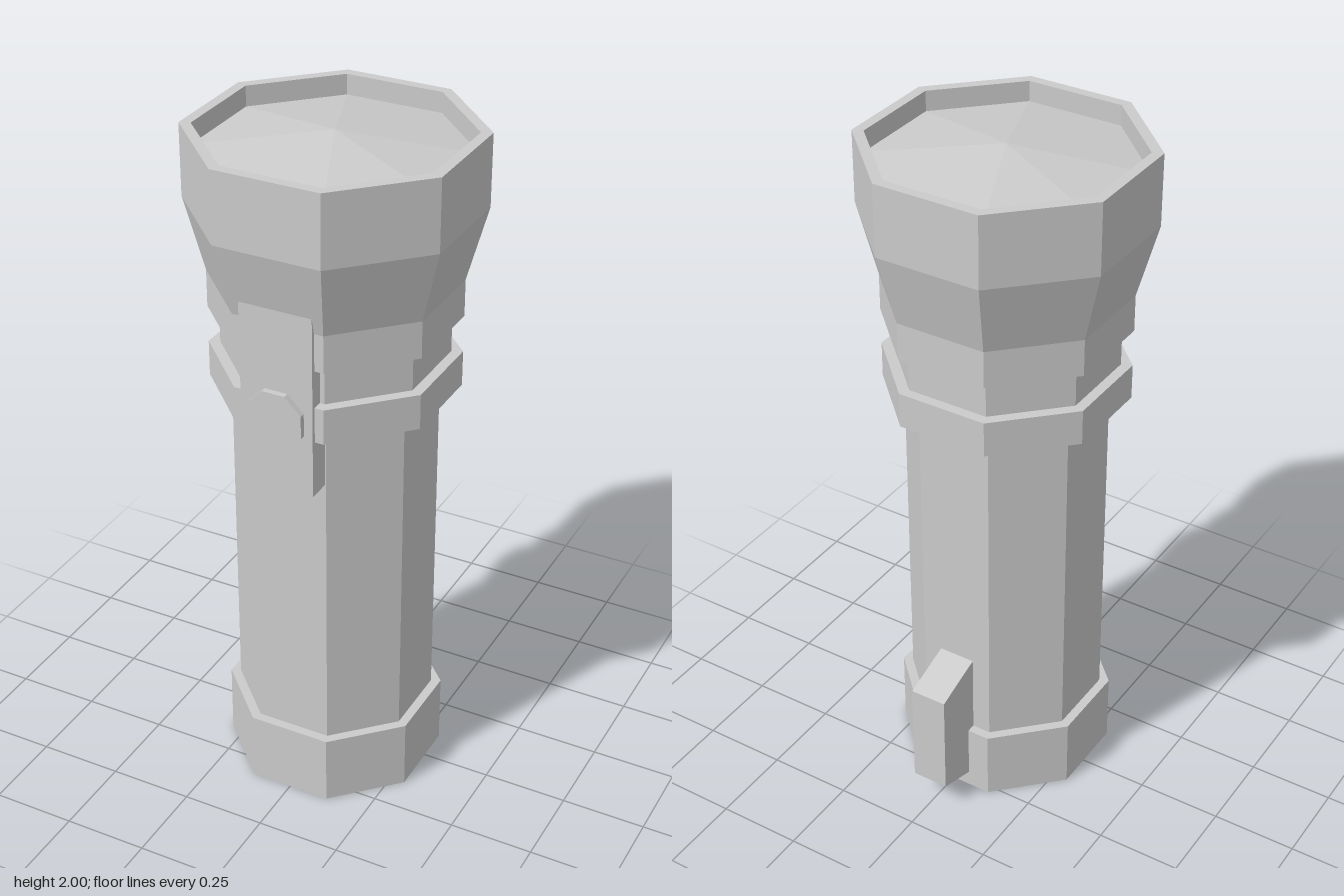
import * as THREE from 'three';

const SIDES = 8;
const FLAT = Math.cos(Math.PI / SIDES); // apothem / corner radius
const AXIS_Z = 0.021;

export function createModel() {
  const group = new THREE.Group();
  const material = new THREE.MeshStandardMaterial({ color: 0xcccccc, flatShading: true });

  function add(name, geometry, x = 0, y = 0, z = 0) {
    const mesh = new THREE.Mesh(geometry, material);
    mesh.name = name;
    mesh.position.set(x, y, z);
    group.add(mesh);
  }

  // Octagonal turned part; profile is [distance to flat side, height]
  function turned(name, profile) {
    const points = profile.map(([r, y]) => new THREE.Vector2(r / FLAT, y));
    add(name, new THREE.LatheGeometry(points, SIDES, Math.PI / SIDES), 0, 0, AXIS_Z);
  }

  // Main body, from the tail up
  turned('tailCap', [[0, 0], [0.295, 0], [0.295, 0.215], [0.268, 0.215]]);
  turned('barrel', [[0.268, 0.215], [0.268, 1.25]]);
  turned('collar', [[0.268, 1.25], [0.325, 1.25], [0.325, 1.355], [0.295, 1.355]]);
  turned('neck', [[0.295, 1.355], [0.295, 1.465]]);
  turned('head', [
    [0.295, 1.465], [0.325, 1.465], [0.325, 1.575], [0.379, 1.79],
    [0.379, 2], [0.349, 2], [0.349, 1.94],
  ]);
  turned('lens', [[0.349, 1.94], [0, 1.995]]);

  // Switch plate, its top running into the flare of the head
  add('switchPlate', new THREE.BoxGeometry(0.216, 0.54, 0.09), 0, 1.355, 0.313);

  // Octagonal push button
  const button = new THREE.CylinderGeometry(0.082 / FLAT, 0.082 / FLAT, 0.03, SIDES);
  button.rotateY(Math.PI / SIDES).rotateX(Math.PI / 2);
  add('switchButton', button, 0, 1.302, 0.36);

  // Tapered lug on the back of the tail
  const lug = new THREE.Shape([
    new THREE.Vector2(0.23, 0.47),
    new THREE.Vector2(0.23, 0.035),
    new THREE.Vector2(0.4, 0.09),
    new THREE.Vector2(0.4, 0.412),
  ]);
  const lugGeometry = new THREE.ExtrudeGeometry(lug, { depth: 0.11, bevelEnabled: false });
  lugGeometry.rotateY(Math.PI / 2);
  add('tailLug', lugGeometry, -0.055, 0, 0);

  return group;
}
